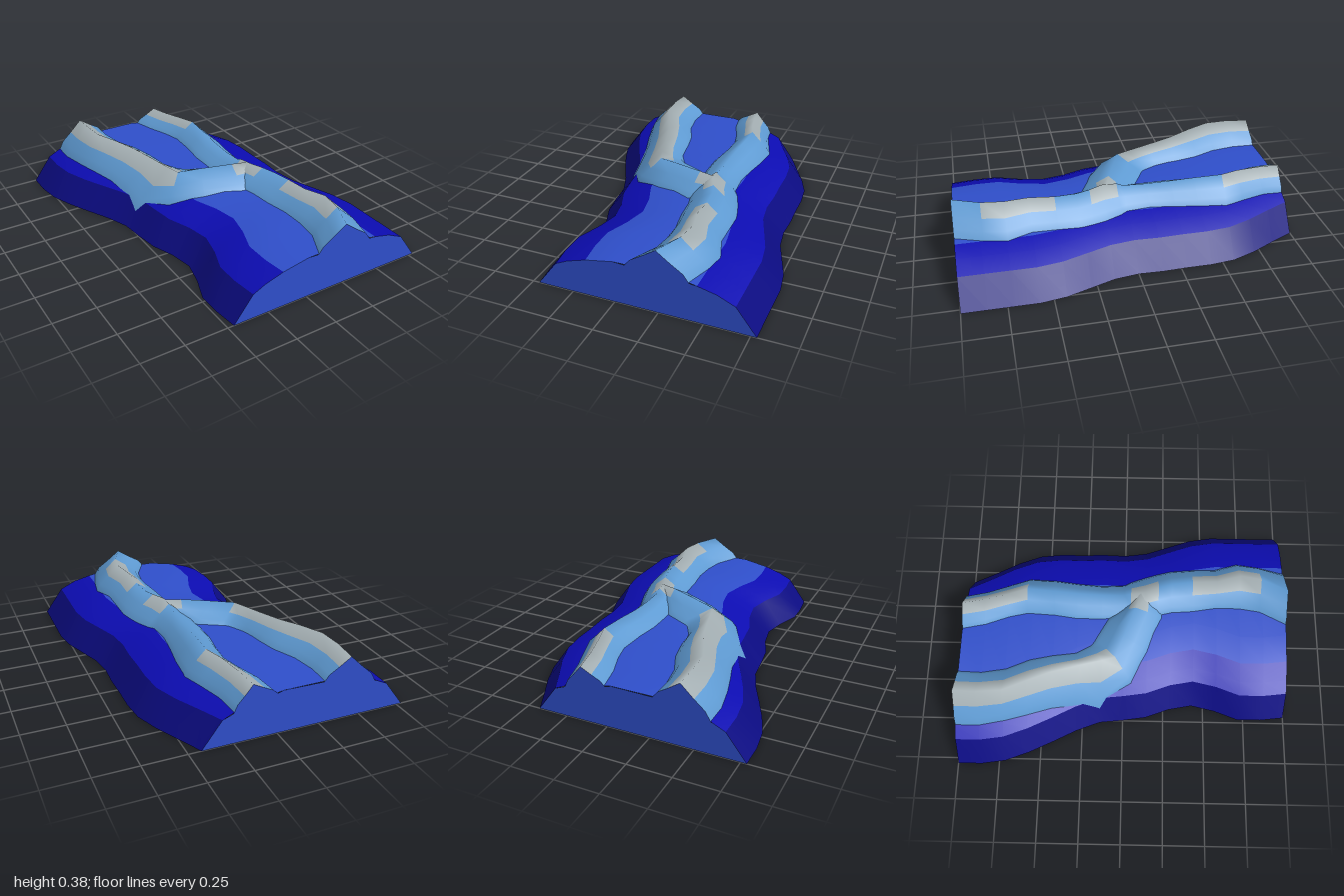
import * as THREE from 'three';

const mat = (name, color) => Object.assign(new THREE.MeshStandardMaterial({ color }), { name });

// Outer edges of the land, sampled every 1/7 from back (z = -1) to front (z = 1)
const LEFT = [-.783, -.783, -.762, -.708, -.64, -.568, -.513, -.497, -.476, -.423, -.396, -.428, -.48, -.48, -.463];
const RIGHT = [.428, .497, .57, .624, .64, .64, .645, .64, .66, .71, .76, .783, .783, .783, .783];
// Ground height against distance from each edge
const SIDE_A = [[0, 0], [.115, .152], [.19, .188], [.3, .222], [.46, .252]];
const SIDE_B = [[0, 0], [.115, .155], [.215, .2], [.32, .225], [.46, .252]];

const edgeAt = (table, z) => {
  const t = THREE.MathUtils.clamp((z + 1) * 7, 0, 14), i = Math.min(13, Math.floor(t));
  return THREE.MathUtils.lerp(table[i], table[i + 1], t - i);
};
const heightAt = (profile, d) => {
  for (let i = 1; i < profile.length; i++) {
    const [d0, y0] = profile[i - 1], [d1, y1] = profile[i];
    if (d <= d1) return y0 + (y1 - y0) * (d - d0) / (d1 - d0);
  }
  return profile[profile.length - 1][1];
};
const ground = (x, z) => Math.min(
  heightAt(SIDE_A, x - edgeAt(LEFT, z)), heightAt(SIDE_B, edgeAt(RIGHT, z) - x));

// Skin over rows of points; pick(row, column) gives the material index of a cell
function loft(rows, pick = () => 0) {
  const n = rows[0].length, pos = rows.flat(2), index = [];
  const g = new THREE.BufferGeometry();
  g.setAttribute('position', new THREE.Float32BufferAttribute(pos, 3));
  for (let r = 0; r < rows.length - 1; r++) {
    for (let c = 0; c < n - 1; c++) {
      const a = r * n + c, b = a + 1, d = a + n, e = d + 1;
      g.addGroup(index.length, 6, pick(r, c));
      index.push(a, d, b, b, d, e);
    }
  }
  g.setIndex(index);
  g.computeVertexNormals();
  return g;
}

// Ridge section: foot, knee, snow edge, crest and the same down the other side
function ridgeRow([lx, lz, cx, cz, cy, rx, rz]) {
  const half = (x, z) => {
    const y = ground(x, z) - .003;
    return [[0, 0], [.18, .3], [.55, .6]].map(([u, v]) =>
      [x + (cx - x) * u, y + (cy - y) * v, z + (cz - z) * u]);
  };
  return [...half(lx, lz), [cx, cy, cz], ...half(rx, rz).reverse()];
}

export function createModel() {
  const group = new THREE.Group();
  const navy = mat('navy', 0x0b0b82), deep = mat('deepBlue', 0x0c0cb2), mid = mat('midBlue', 0x2f4fcb);
  const light = mat('lightBlue', 0x5f9bd3), grey = mat('paleGrey', 0xa3aeb2);
  const add = (name, geometry, material) => {
    const m = new THREE.Mesh(geometry, material);
    m.name = name;
    group.add(m);
    return m;
  };

  // Ground in lengthwise bands
  const zs = LEFT.map((_, i) => i / 7 - 1);
  const groundRows = zs.map((z, i) => [
    ...SIDE_A.map(([d, y]) => [LEFT[i] + d, y, z]),
    ...SIDE_B.map(([d, y]) => [RIGHT[i] - d, y, z]).reverse()]);
  const band = (name, a, b, material) =>
    add(name, loft(groundRows.map(r => r.slice(a, b + 1))), material);
  band('rightBank', 0, 1, navy);
  band('rightSlope', 1, 3, deep);
  band('valleyFloor', 3, 6, mid);
  band('leftSlope', 6, 8, deep);
  band('leftBank', 8, 9, navy);

  // Flat underside
  add('underside', loft(zs.map((z, i) => [[RIGHT[i], 0, z], [LEFT[i], 0, z]])), navy);

  // Long ridge: z, foot, crest x, crest height, foot
  const longRidge = [
    [-1, .005, .145, .325, .25], [-.86, .03, .165, .337, .275], [-.71, .085, .2, .35, .325],
    [-.6, .11, .235, .353, .362], [-.43, .1, .225, .345, .35], [-.29, .08, .215, .335, .33],
    [-.14, .08, .21, .33, .315], [0, .09, .21, .335, .325], [.04, .1, .21, .352, .35],
    [.13, .1, .22, .36, .385], [.21, .11, .255, .357, .41], [.29, .13, .28, .355, .43],
    [.42, .14, .295, .36, .437], [.57, .165, .295, .372, .44], [.71, .165, .33, .385, .485],
    [.84, .145, .31, .383, .465], [1, .065, .24, .38, .42],
  ].map(([z, l, c, y, r]) => ridgeRow([l, z, c, z, y, r, z]));

  // Curved ridge, bending across the valley into the long one
  const curvedRidge = [
    [-.59, -1, -.425, -1, .366, -.27, -1], [-.59, -.86, -.43, -.86, .375, -.275, -.86],
    [-.56, -.71, -.42, -.71, .376, -.25, -.71], [-.52, -.57, -.36, -.57, .372, -.19, -.57],
    [-.475, -.43, -.3, -.43, .36, -.16, -.43], [-.45, -.29, -.25, -.26, .346, -.14, -.29],
    [-.45, -.14, -.215, -.13, .336, -.09, -.2], [-.31, .05, -.19, -.05, .331, -.05, -.175],
    [-.12, .145, -.06, 0, .343, .085, -.1], [.1, .235, .12, .07, .356, .14, -.03],
    [.215, .22, .215, .1, .357, .215, .02],
  ].map(ridgeRow);

  // Pale caps run along the crests between chosen rows
  const caps = spans => (r, c) =>
    (c === 2 || c === 3) && spans.some(([a, b]) => r >= a && r < b) ? 1 : 0;
  add('longRidge', loft(longRidge, caps([[0, 3], [8, 10], [12, 15]])), [light, grey]);
  add('curvedRidge', loft(curvedRidge, caps([[0, 7], [9, 10]])), [light, grey]);

  // End walls follow the ground and the ridges that reach them
  const wall = (name, row, z, ridges) => {
    const open = row.filter(p => !ridges.some(r => p[0] >= r[0][0] && p[0] <= r[6][0]));
    const outline = [...open, ...ridges.flat()].sort((a, b) => a[0] - b[0]);
    const shape = new THREE.Shape(outline.map(p => new THREE.Vector2(p[0] * Math.sign(z), p[1])));
    const m = add(name, new THREE.ShapeGeometry(shape), mid);
    m.position.z = z;
    if (z < 0) m.rotation.y = Math.PI;
  };
  wall('frontWall', groundRows[14], 1, [longRidge[16]]);
  wall('backWall', groundRows[0], -1, [longRidge[0], curvedRidge[0]]);
  return group;
}
